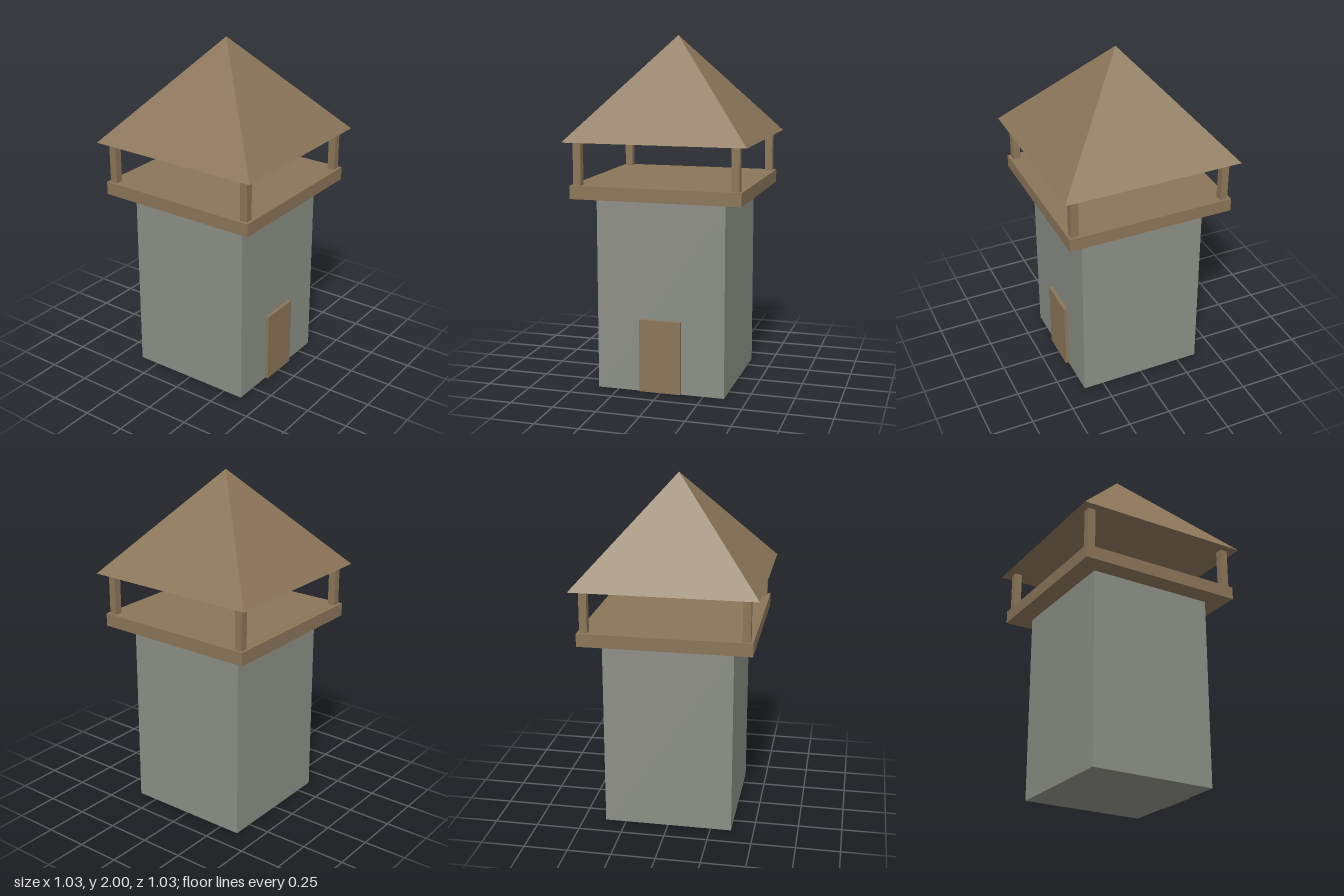
import * as THREE from 'three';

export function createModel() {
  const stone = new THREE.MeshStandardMaterial({ name: 'stone', color: 0x8c8f87, flatShading: true });
  const wood = new THREE.MeshStandardMaterial({ name: 'wood', color: 0x8b7559, flatShading: true });
  const model = new THREE.Group();
  model.name = 'watchtower';

  // Box given by its size, centre and bottom height
  function box(name, material, [w, h, d], [x, bottom, z]) {
    const mesh = new THREE.Mesh(new THREE.BoxGeometry(w, h, d), material);
    mesh.name = name;
    mesh.position.set(x, bottom + h / 2, z);
    model.add(mesh);
  }

  box('towerBody', stone, [0.74, 1.11, 0.74], [0, 0, 0]);
  box('door', wood, [0.24, 0.42, 0.04], [0, 0.004, 0.37]);
  box('platform', wood, [0.97, 0.075, 0.97], [0, 1.11, 0]);

  // Corner posts
  for (const sx of [-1, 1]) {
    for (const sz of [-1, 1]) {
      box('post', wood, [0.044, 0.24, 0.044], [sx * 0.447, 1.185, sz * 0.447]);
    }
  }

  // Four-sided pyramid roof, turned so its sides face the axes
  const roofGeometry = new THREE.ConeGeometry(0.517 * Math.SQRT2, 0.575, 4);
  roofGeometry.rotateY(Math.PI / 4);
  const roof = new THREE.Mesh(roofGeometry, wood);
  roof.name = 'roof';
  roof.position.y = 1.425 + 0.575 / 2;
  model.add(roof);

  return model;
}
